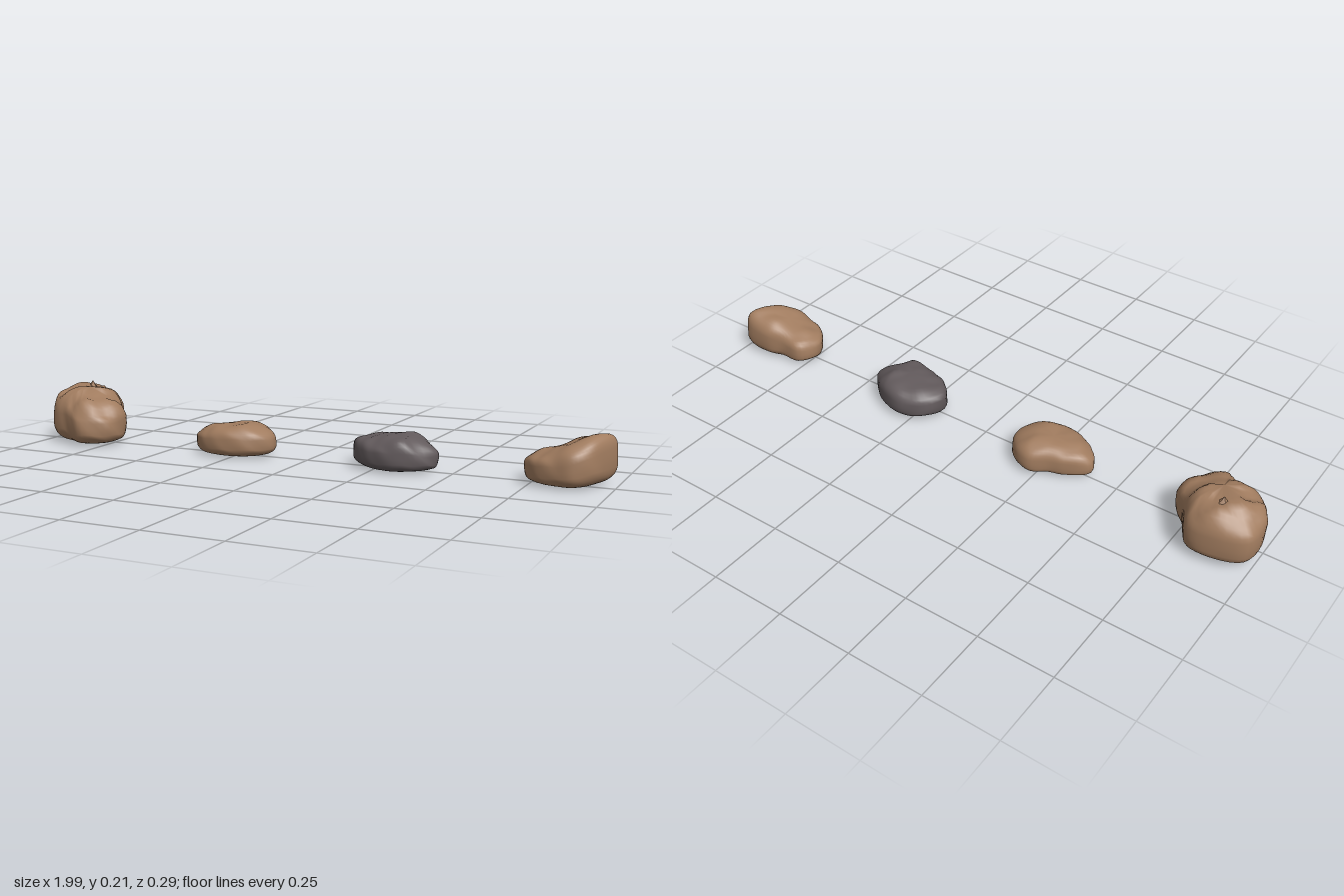
import * as THREE from 'three';
import { mergeVertices } from 'three/addons/utils/BufferGeometryUtils.js';

const brown = new THREE.MeshStandardMaterial({ color: 0xa17c5f });
brown.name = 'brown stone';
const grey = new THREE.MeshStandardMaterial({ color: 0x625a5c });
grey.name = 'grey stone';

// Smooth lumps made of a few crossing waves
function lumps(x, y, z, s) {
  return 0.5 * Math.sin(42 * x + 23 * z + s) * Math.cos(37 * z - 19 * y + s * 2)
    + 0.35 * Math.sin(71 * z + 33 * x + s * 3) * Math.cos(54 * y + 61 * x)
    + 0.3 * Math.sin(58 * y + 49 * x - 44 * z + s);
}

// A sphere reshaped into a flat-bottomed boulder.
// radii: plan radius at even angles, turning from +x towards +z
// heights: height of the crest at even steps from the -x end to the +x end
// ridge: z of the crest line; ledge: size of the broken steps on top
function makeRock(name, material, cx, radii, heights, { bump, seed, ridge, ledge = 0 }) {
  const plan = new THREE.CatmullRomCurve3(radii.map((r, i) => {
    const angle = (i / radii.length) * Math.PI * 2;
    return new THREE.Vector3(r * Math.cos(angle), 0, r * Math.sin(angle));
  }), true);

  const crest = (x, z) => {
    const t = THREE.MathUtils.clamp((x + 0.15) / 0.3, 0, 1) * (heights.length - 1);
    const i = Math.min(Math.floor(t), heights.length - 2);
    return THREE.MathUtils.lerp(heights[i], heights[i + 1], t - i) * (1 - 8 * (z - ridge) ** 2);
  };

  const sphere = new THREE.SphereGeometry(1, 48, 20);
  sphere.deleteAttribute('normal');
  sphere.deleteAttribute('uv');
  const geometry = mergeVertices(sphere);
  const position = geometry.attributes.position;
  const p = new THREE.Vector3();
  for (let i = 0; i < position.count; i++) {
    p.fromBufferAttribute(position, i);
    const turn = (Math.atan2(p.z, p.x) / (Math.PI * 2) + 1) % 1;

    // Boxy section: steep sides, broad top and bottom
    const share = Math.hypot(p.x, p.z) ** 0.6;
    const rise = Math.sign(p.y) * Math.abs(p.y) ** 0.6;
    const level = 0.45 + rise * (rise < 0 ? 0.45 : 0.55);
    const { x, z } = plan.getPoint(turn).multiplyScalar(share);

    // Lumps everywhere but the underside, ledges on the upper part only
    const lump = lumps(x, level * 0.15, z, seed) * bump;
    const step = ledge * Math.tanh(6 * Math.sin(48 * (x + 0.8 * z) + seed));
    const y = level * crest(x, z)
      + lump * THREE.MathUtils.smoothstep(level, 0, 0.2)
      + step * THREE.MathUtils.smoothstep(level, 0.75, 0.9);
    const swell = 1 + lump * 5 * share;
    position.setXYZ(i, x * swell, Math.max(0, y), z * swell);
  }
  geometry.computeVertexNormals();

  const mesh = new THREE.Mesh(geometry, material);
  mesh.name = name;
  mesh.position.x = cx;
  return mesh;
}

export function createModel() {
  const group = new THREE.Group();
  group.name = 'rocks';

  group.add(
    makeRock('largeRock', brown, -0.85,
      [0.145, 0.16, 0.145, 0.107, 0.125, 0.148, 0.175, 0.152, 0.144, 0.113],
      [0.18, 0.195, 0.18, 0.14],
      { bump: 0.006, seed: 1.3, ridge: -0.04, ledge: 0.005 }),
    makeRock('flatRock', brown, -0.265,
      [0.142, 0.118, 0.097, 0.098, 0.118, 0.145, 0.095, 0.08, 0.113, 0.13],
      [0.088, 0.102, 0.111, 0.09],
      { bump: 0.004, seed: 4.1, ridge: 0 }),
    makeRock('greyRock', grey, 0.31,
      [0.14, 0.115, 0.102, 0.098, 0.112, 0.145, 0.132, 0.115, 0.106, 0.113],
      [0.105, 0.108, 0.118, 0.08],
      { bump: 0.005, seed: 7.7, ridge: -0.02 }),
    makeRock('slopedRock', brown, 0.86,
      [0.105, 0.095, 0.097, 0.092, 0.112, 0.135, 0.127, 0.085, 0.104, 0.155],
      [0.09, 0.11, 0.148, 0.195],
      { bump: 0.005, seed: 2.6, ridge: -0.03 }),
  );

  // Small pointed chip standing on the crest of the large rock
  const chip = new THREE.Mesh(new THREE.ConeGeometry(0.035, 0.05, 5), brown);
  chip.name = 'crestChip';
  chip.position.set(-0.88, 0.181, -0.06);
  chip.scale.z = 0.8;
  group.add(chip);
  return group;
}
